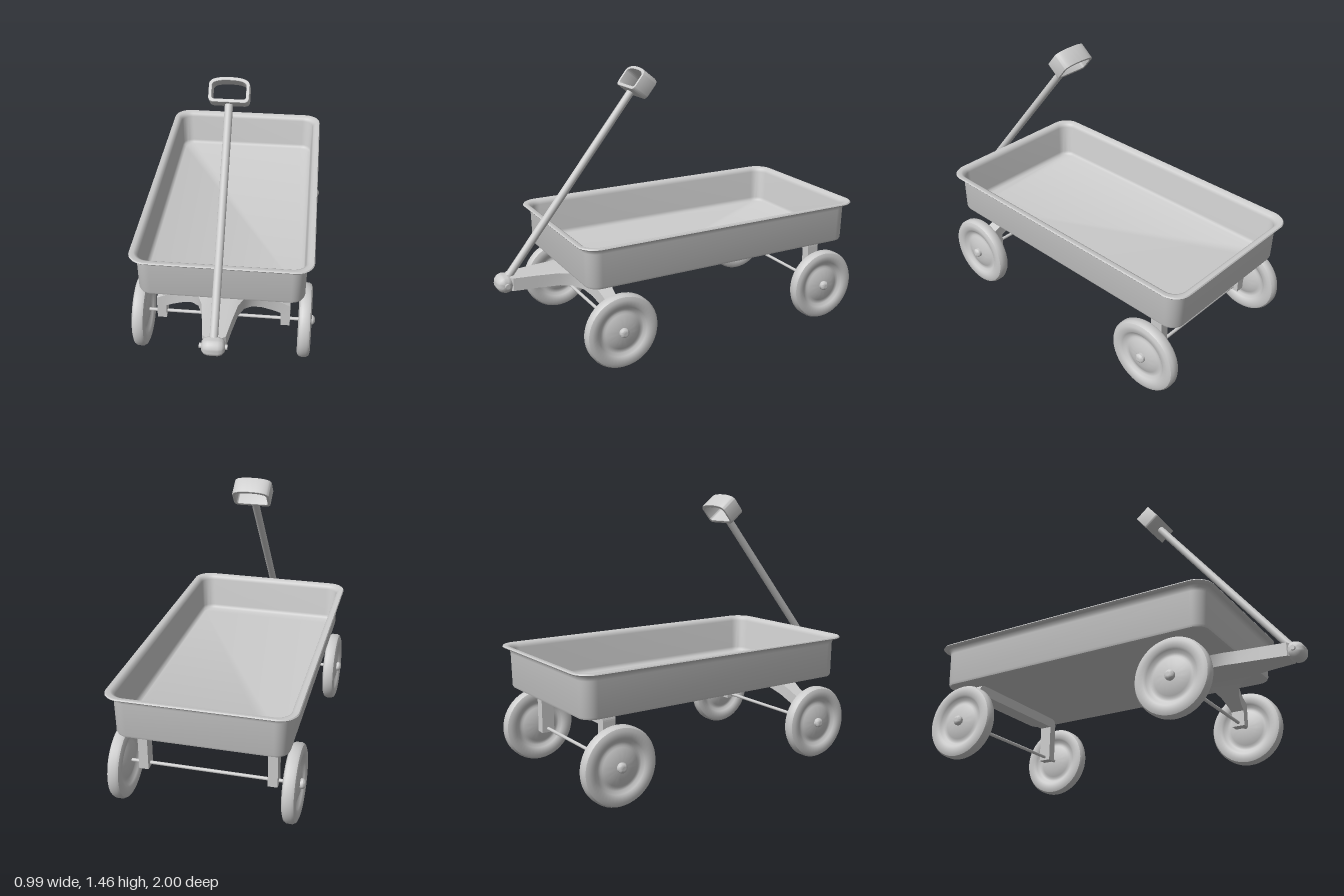
import * as THREE from 'three';
import { toCreasedNormals } from 'three/addons/utils/BufferGeometryUtils.js';

const material = new THREE.MeshStandardMaterial({ color: 0xcccccc, side: THREE.DoubleSide });

function add(parent, name, geometry, x = 0, y = 0, z = 0) {
  const mesh = new THREE.Mesh(geometry, material);
  mesh.name = name;
  mesh.position.set(x, y, z);
  parent.add(mesh);
  return mesh;
}

// Skin a list of closed rings (arrays of [x, y, z]) and cap both ends
function loft(rings, crease) {
  const n = rings[0].length, pos = rings.flat(2), index = [];
  for (let i = 0; i < rings.length - 1; i++)
    for (let j = 0; j < n; j++) {
      const a = i * n + j, b = i * n + (j + 1) % n;
      index.push(a, a + n, b, b, a + n, b + n);
    }
  const last = (rings.length - 1) * n;
  for (let j = 1; j < n - 1; j++) {
    index.push(0, j, j + 1);
    index.push(last, last + j + 1, last + j);
  }
  const g = new THREE.BufferGeometry();
  g.setAttribute('position', new THREE.Float32BufferAttribute(pos, 3));
  g.setIndex(index);
  return toCreasedNormals(g, crease);
}

// Horizontal rounded rectangle, running so that upward lofts face outwards
function roundedRing(hx, hz, r, y) {
  const ring = [], seg = 10;
  for (let q = 0; q < 4; q++) {
    const sx = q === 0 || q === 3 ? 1 : -1, sz = q < 2 ? 1 : -1;
    for (let k = 0; k <= seg; k++) {
      const a = (q + k / seg) * Math.PI / 2;
      ring.push([sx * (hx - r) + r * Math.cos(a), y, sz * (hz - r) + r * Math.sin(a)]);
    }
  }
  return ring;
}

// Lathe turned so that its axis runs along +x; points are [radius, x]
function latheX(points, segments = 48) {
  const g = new THREE.LatheGeometry(points.map(p => new THREE.Vector2(...p)), segments);
  return toCreasedNormals(g.rotateZ(-Math.PI / 2), 0.6);
}

function roundRect(path, w, h, r) {
  const x = w / 2, y = h / 2;
  path.moveTo(-x + r, -y);
  path.lineTo(x - r, -y).quadraticCurveTo(x, -y, x, -y + r);
  path.lineTo(x, y - r).quadraticCurveTo(x, y + 0.012, 0, y + 0.012);
  path.quadraticCurveTo(-x, y + 0.012, -x, y - r);
  path.lineTo(-x, -y + r).quadraticCurveTo(-x, -y, -x + r, -y);
  return path;
}

function createTray() {
  // Inset from the rim edge, and height: up the outside, over the rim, down the inside
  const profile = [
    [0.058, 0.44], [0.046, 0.443], [0.041, 0.455], [0.037, 0.63], [0.033, 0.648],
    [0.022, 0.659], [0.004, 0.661], [0, 0.666], [0.004, 0.672], [0.024, 0.671],
    [0.038, 0.662], [0.044, 0.645], [0.049, 0.475], [0.054, 0.459], [0.068, 0.452],
  ];
  return loft(profile.map(([d, y]) => roundedRing(0.475 - d, 0.845 - d, 0.095 - d * 0.6, y)), 0.9);
}

function createWheel() {
  const wheel = new THREE.Group();
  add(wheel, 'tyre', latheX([
    [0.135, -0.025], [0.145, -0.032], [0.175, -0.035], [0.192, -0.028], [0.2, -0.015],
    [0.2, 0.015], [0.192, 0.028], [0.175, 0.035], [0.145, 0.032], [0.135, 0.025],
  ]));
  add(wheel, 'wheelDisc', latheX([
    [0, -0.03], [0.06, -0.026], [0.095, -0.015], [0.105, -0.01], [0.12, -0.012], [0.138, -0.026],
    [0.138, 0.026], [0.12, 0.012], [0.105, 0.01], [0.095, 0.015], [0.06, 0.026], [0, 0.03],
  ]));
  add(wheel, 'hubNut', latheX([
    [0.026, 0.025], [0.026, 0.042], [0.02, 0.05], [0.01, 0.055], [0, 0.056],
  ], 12));
  return wheel;
}

function createRearBracket() {
  const s = new THREE.Shape();
  s.moveTo(0.36, 0.18);
  s.lineTo(0.36, 0.4).quadraticCurveTo(0.36, 0.44, 0.32, 0.44);
  s.lineTo(-0.32, 0.44).quadraticCurveTo(-0.36, 0.44, -0.36, 0.4);
  s.lineTo(-0.36, 0.18).lineTo(-0.31, 0.18).lineTo(-0.31, 0.385);
  s.lineTo(0.31, 0.385).lineTo(0.31, 0.18);
  return new THREE.ExtrudeGeometry(s, { depth: 0.07, bevelEnabled: false, curveSegments: 8 }).translate(0, 0, -0.035);
}

function createFrontArch() {
  // x, top, bottom, front z, back z for one half; the other half is mirrored
  const half = [
    [0.03, 0.43, 0.36, 0.94, 0.4], [0.058, 0.43, 0.36, 0.92, 0.4], [0.075, 0.429, 0.36, 0.8, 0.4],
    [0.095, 0.426, 0.358, 0.68, 0.405], [0.12, 0.42, 0.352, 0.615, 0.415], [0.16, 0.403, 0.335, 0.57, 0.43],
    [0.21, 0.38, 0.312, 0.545, 0.445], [0.27, 0.353, 0.283, 0.53, 0.453],
    [0.31, 0.335, 0.263, 0.525, 0.455], [0.36, 0.312, 0.24, 0.525, 0.455],
  ];
  const mirrored = half.map(([x, ...rest]) => [-x, ...rest]).reverse();
  const rings = [...mirrored, ...half].map(([x, top, bottom, front, back]) =>
    [[x, top, back], [x, top, front], [x, bottom, front], [x, bottom, back]]);
  return loft(rings, 0.6);
}

function createHandle() {
  const handle = new THREE.Group();
  handle.name = 'handle';
  const barrel = [[0, -0.06], [0.025, -0.057], [0.04, -0.045], [0.047, -0.025]];
  add(handle, 'pivotBarrel', latheX([...barrel, ...barrel.map(([r, x]) => [r, -x]).reverse()], 32));
  add(handle, 'pivotPin', new THREE.CylinderGeometry(0.013, 0.013, 0.14, 16).rotateZ(Math.PI / 2));

  // Shaft and grip share a frame leaning back along the shaft
  const lean = new THREE.Group();
  lean.name = 'pullBar';
  lean.rotation.x = -Math.atan2(0.79, 0.99);
  add(lean, 'shaft', new THREE.CylinderGeometry(0.021, 0.021, 1.19, 24), 0, 0.605, 0);
  const frame = roundRect(new THREE.Shape(), 0.2, 0.112, 0.025);
  frame.holes.push(roundRect(new THREE.Path(), 0.178, 0.088, 0.018));
  const grip = new THREE.ExtrudeGeometry(frame, {
    depth: 0.086, bevelThickness: 0.005, bevelSize: 0.003, bevelSegments: 2, curveSegments: 12,
  });
  add(lean, 'grip', toCreasedNormals(grip.translate(0, 0, -0.043), 0.6), 0, 1.26, 0);
  handle.add(lean);
  handle.position.set(0, 0.393, 0.953);
  return handle;
}

export function createModel() {
  const wagon = new THREE.Group();
  wagon.name = 'wagon';
  add(wagon, 'tray', createTray(), 0, 0, -0.15);

  // Axles and wheels
  for (const [end, z] of [['front', 0.49], ['rear', -0.785]]) {
    add(wagon, end + 'Axle', new THREE.CylinderGeometry(0.009, 0.009, 0.86, 16).rotateZ(Math.PI / 2), 0, 0.2, z);
    for (const side of [1, -1]) {
      const wheel = createWheel();
      wheel.name = end + (side > 0 ? 'Left' : 'Right') + 'Wheel';
      wheel.position.set(side * 0.44, 0.2, z);
      if (side < 0) wheel.rotation.y = Math.PI;
      wagon.add(wheel);
    }
  }

  // Undercarriage
  add(wagon, 'rearBracket', createRearBracket(), 0, 0, -0.785);
  add(wagon, 'frontArch', createFrontArch());
  add(wagon, 'steeringPlate', new THREE.CylinderGeometry(0.06, 0.06, 0.016, 24), 0, 0.434, 0.49);
  for (const side of [1, -1])
    add(wagon, 'frontArchLeg', new THREE.BoxGeometry(0.05, 0.1, 0.07), side * 0.335, 0.23, 0.49);

  wagon.add(createHandle());
  return wagon;
}
